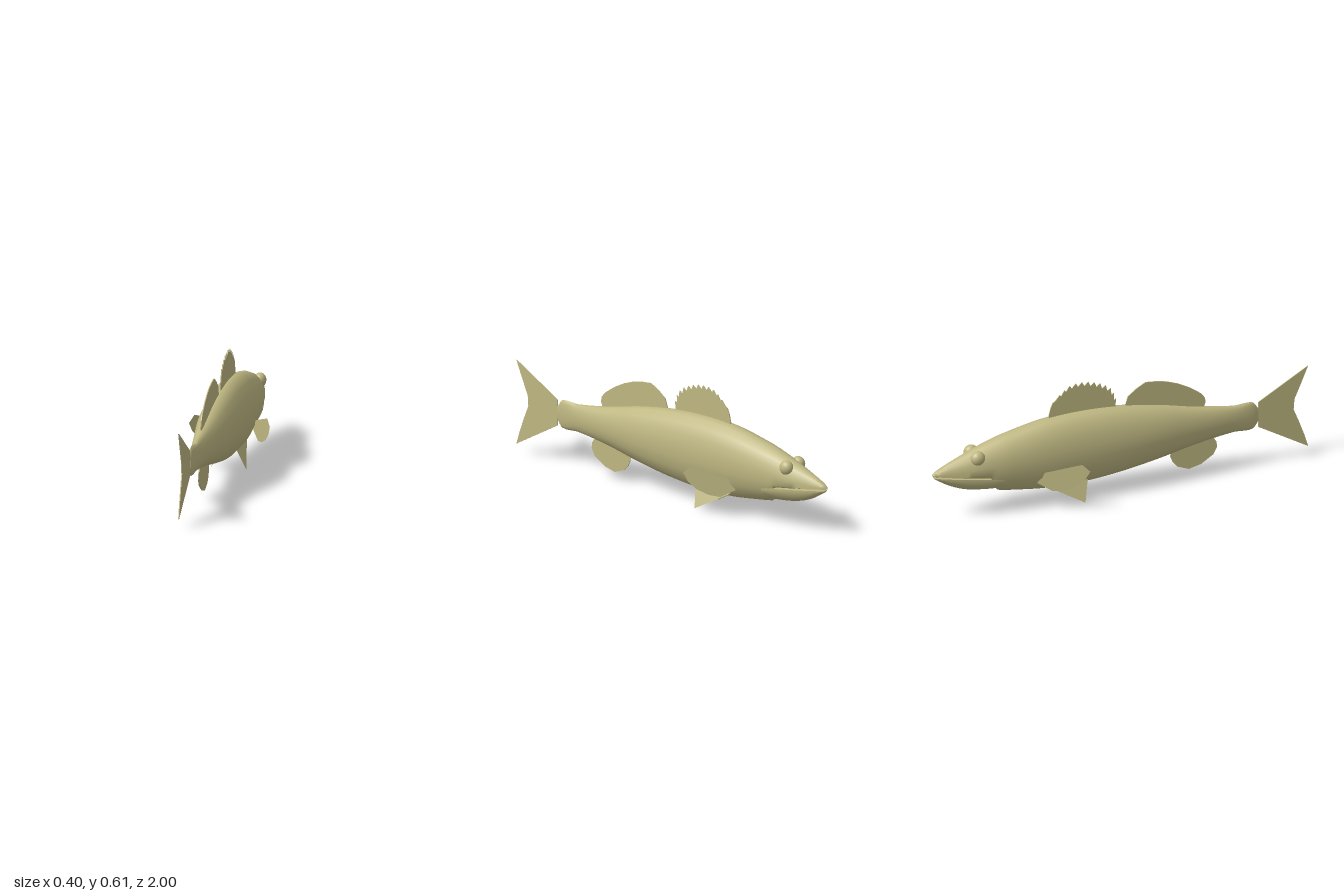
import * as THREE from 'three';
import { toCreasedNormals } from 'three/addons/utils/BufferGeometryUtils.js';

const SIDES = 18;
const skin = new THREE.MeshStandardMaterial({ color: 0xbfb782, side: THREE.DoubleSide });
skin.name = 'olive skin';

// Height of the mouth line along the head
const mouthY = (z) => 0.213 + (-0.7 - z) * 0.115;

// Smooth interpolation through the rows of a profile table
function sampleRows(rows, steps) {
  const out = [];
  for (let i = 0; i < rows.length - 1; i++) {
    const a = rows[Math.max(i - 1, 0)], b = rows[i], c = rows[i + 1], d = rows[Math.min(i + 2, rows.length - 1)];
    for (let s = 0; s < steps; s++) {
      const t = s / steps;
      out.push(b.map((_, k) => {
        // slopes limited by the spacing in z
        const h = c[0] - b[0];
        const m0 = (c[k] - a[k]) / (c[0] - a[0]) * h;
        const m1 = (d[k] - b[k]) / (d[0] - b[0]) * h;
        const t2 = t * t, t3 = t2 * t;
        return (2 * t3 - 3 * t2 + 1) * b[k] + (t3 - 2 * t2 + t) * m0 + (3 * t2 - 2 * t3) * c[k] + (t3 - t2) * m1;
      }));
    }
  }
  out.push(rows[rows.length - 1]);
  return out;
}

// Closed skin through oval sections [z, top, bottom, halfWidth], ordered tail to snout
function loft(rows, clampY) {
  const pos = [], idx = [];
  for (const [z, top, bot, w] of rows) {
    for (let i = 0; i < SIDES; i++) {
      const a = (i / SIDES) * Math.PI * 2;
      const y = (top + bot) / 2 + Math.cos(a) * (top - bot) / 2;
      pos.push(w * Math.sin(a), clampY(y, z, bot), z);
    }
  }
  const n = rows.length;
  for (let j = 0; j < n - 1; j++) {
    for (let i = 0; i < SIDES; i++) {
      const p = j * SIDES + i, q = j * SIDES + (i + 1) % SIDES;
      idx.push(p, q, p + SIDES, q, q + SIDES, p + SIDES);
    }
  }
  // end caps
  for (const j of [0, n - 1]) {
    const c = pos.length / 3, o = j * SIDES;
    pos.push(0, (pos[o * 3 + 1] + pos[(o + SIDES / 2) * 3 + 1]) / 2, rows[j][0]);
    for (let i = 0; i < SIDES; i++) {
      const p = o + i, q = o + (i + 1) % SIDES;
      if (j === 0) idx.push(c, q, p); else idx.push(c, p, q);
    }
  }
  const g = new THREE.BufferGeometry();
  g.setAttribute('position', new THREE.Float32BufferAttribute(pos, 3));
  g.setIndex(idx);
  return toCreasedNormals(g, 0.95);
}

// Thin upright fin from an outline in (z, y)
function midFin(outline) {
  const depth = 0.005;
  const shape = new THREE.Shape(outline.map(([z, y]) => new THREE.Vector2(z, y)));
  const g = new THREE.ExtrudeGeometry(shape, { depth, bevelEnabled: false });
  return g.translate(0, 0, -depth / 2).rotateY(-Math.PI / 2);
}

// Flat paired fin as a fan of triangles
function fanFin(points, side) {
  const pos = [];
  const put = ([x, y, z]) => pos.push(x * side, y, z);
  for (let i = 1; i < points.length - 1; i++) {
    put(points[0]);
    put(points[side > 0 ? i : i + 1]);
    put(points[side > 0 ? i + 1 : i]);
  }
  const g = new THREE.BufferGeometry();
  g.setAttribute('position', new THREE.Float32BufferAttribute(pos, 3));
  g.computeVertexNormals();
  return g;
}

export function createModel() {
  const fish = new THREE.Group();
  fish.name = 'fish';
  const add = (name, geometry) => {
    const m = new THREE.Mesh(geometry, skin);
    m.name = name;
    fish.add(m);
    return m;
  };

  // Body with upper head; the underside of the head is cut off at the mouth line
  const bodyRows = sampleRows([
    [0.735, 0.305, 0.235, 0.005], [0.705, 0.342, 0.2, 0.012], [0.6, 0.343, 0.2, 0.026],
    [0.4, 0.375, 0.175, 0.053], [0.2, 0.42, 0.135, 0.08], [0, 0.45, 0.102, 0.094],
    [-0.2, 0.461, 0.083, 0.099], [-0.4, 0.45, 0.084, 0.099], [-0.6, 0.41, 0.108, 0.09],
    [-0.7, 0.382, 0.125, 0.08], [-0.8, 0.346, 0.15, 0.065], [-0.9, 0.306, 0.188, 0.041],
    [-0.96, 0.28, 0.218, 0.025], [-0.99, 0.263, 0.238, 0.012], [-1, 0.254, 0.246, 0.003],
  ], 6);
  add('body', loft(bodyRows, (y, z, bot) => {
    const k = THREE.MathUtils.clamp((-0.66 - z) / 0.05, 0, 1);
    return Math.max(y, THREE.MathUtils.lerp(bot, mouthY(z), k));
  }));

  // Lower jaw: half ovals hanging just below the mouth line
  const jawRows = sampleRows([
    [-0.64, 0.135, 0.078], [-0.7, 0.135, 0.075], [-0.82, 0.15, 0.057],
    [-0.9, 0.178, 0.04], [-0.96, 0.212, 0.024], [-0.99, 0.232, 0.011],
  ], 4).map(([z, bot, w]) => {
    const lip = mouthY(z) - 0.008;
    return [z, 2 * lip - bot, bot, w];
  });
  add('lowerJaw', loft(jawRows, (y, z) => Math.min(y, mouthY(z) - 0.008)));

  // Spiny front dorsal fin: teeth along the crest, leaning back
  const crest = new THREE.CatmullRomCurve3([
    [-0.025, 0.49], [-0.05, 0.545], [-0.105, 0.583], [-0.19, 0.607], [-0.27, 0.6], [-0.325, 0.56],
  ].map(([z, y]) => new THREE.Vector3(0, y, z)));
  const spiny = [[-0.03, 0.42]];
  const teeth = 12;
  for (let i = 0; i < teeth; i++) {
    const peak = crest.getPointAt(i / (teeth - 1));
    spiny.push([peak.z + 0.004, peak.y + 0.004]);
    if (i < teeth - 1) {
      const dip = crest.getPointAt((i + 0.4) / (teeth - 1));
      spiny.push([dip.z - 0.004, dip.y - 0.017]);
    }
  }
  spiny.push([-0.345, 0.535], [-0.358, 0.528], [-0.37, 0.5], [-0.38, 0.46], [-0.375, 0.42]);
  add('spinyDorsalFin', midFin(spiny));

  add('softDorsalFin', midFin([
    [0.03, 0.41], [0.028, 0.45], [0.042, 0.492], [0.085, 0.525], [0.135, 0.552], [0.19, 0.547], [0.25, 0.535],
    [0.31, 0.513], [0.37, 0.482], [0.43, 0.44], [0.45, 0.415], [0.455, 0.39], [0.44, 0.35],
  ]));
  add('analFin', midFin([
    [0.27, 0.18], [0.268, 0.125], [0.28, 0.097], [0.305, 0.068], [0.365, 0.045], [0.43, 0.06],
    [0.495, 0.1], [0.515, 0.135], [0.513, 0.165], [0.49, 0.2],
  ]));
  add('tailFin', midFin([
    [0.735, 0.337], [1, 0.487], [0.965, 0.405], [0.927, 0.32], [0.923, 0.265],
    [0.95, 0.2], [0.98, 0.12], [1, 0.055], [0.735, 0.205],
  ]));

  // Paired fins and eyes
  const pectoral = [
    [0.088, 0.203], [0.182, 0.257], [0.202, 0.223], [0.19, 0.178],
    [0.168, 0.14], [0.138, 0.115], [0.11, 0.108], [0.072, 0.148],
  ].map(([x, y]) => [x, y, -0.44 + (x - 0.09) * 1.75]);
  const pelvic = [[0.045, 0.115, -0.19], [0.09, 0.005, -0.222], [0.045, 0.13, -0.45]];
  for (const [label, side] of [['left', 1], ['right', -1]]) {
    add(label + 'PectoralFin', fanFin(pectoral, side));
    add(label + 'PelvicFin', fanFin(pelvic, side));
    const eye = add(label + 'Eye', new THREE.SphereGeometry(0.037, 20, 14));
    eye.scale.x = 0.85;
    eye.position.set(side * 0.044, 0.322, -0.775);
  }
  return fish;
}
